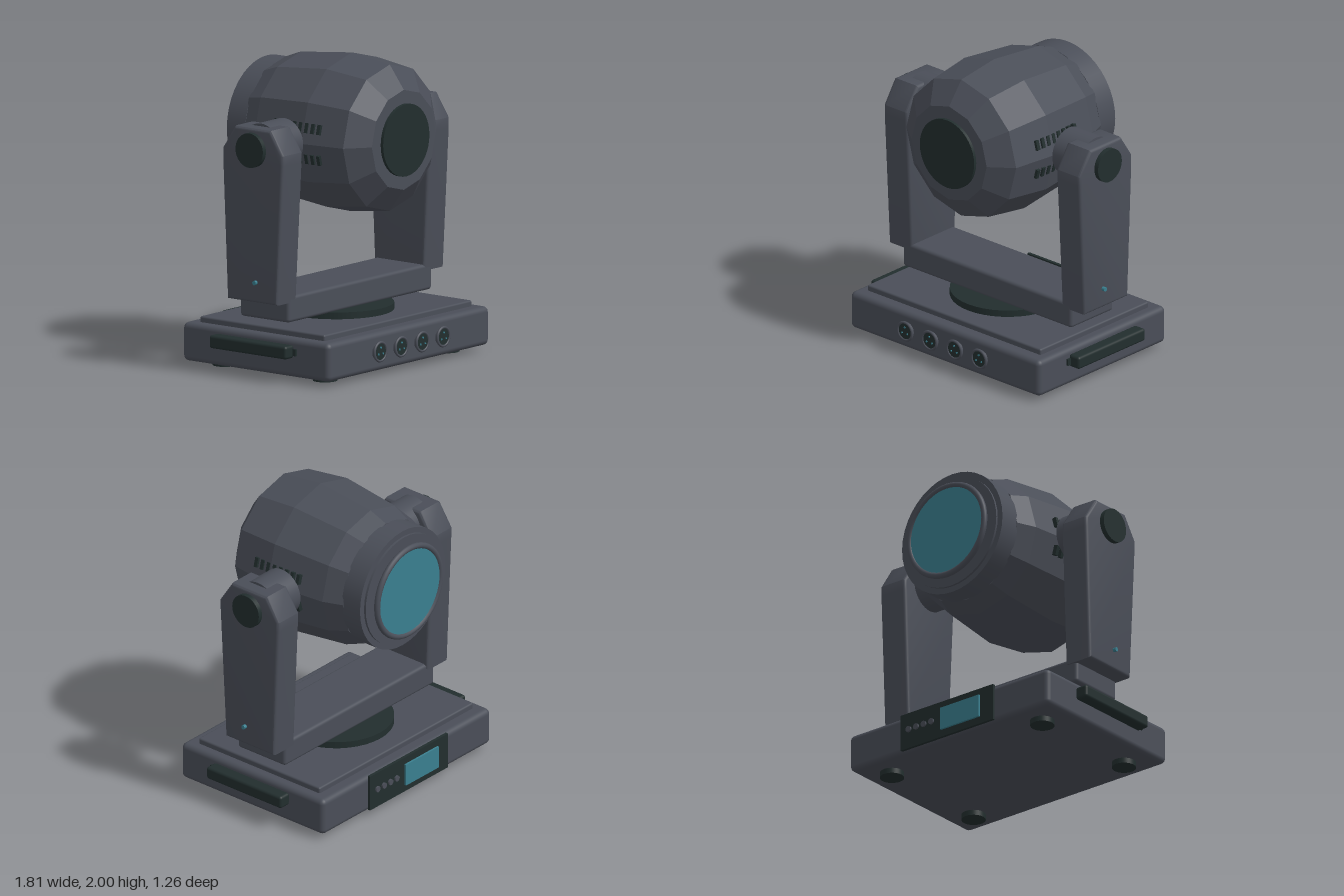
import * as THREE from 'three';
import { RoundedBoxGeometry } from 'three/addons/geometries/RoundedBoxGeometry.js';
import { toCreasedNormals } from 'three/addons/utils/BufferGeometryUtils.js';

const material = (name, color) => {
  const m = new THREE.MeshStandardMaterial({ color });
  m.name = name;
  return m;
};

export function createModel() {
  const housing = material('housing grey', 0x4a4e58);
  const dark = material('dark trim', 0x222e2e);
  const teal = material('teal glass', 0x3a7f8f);
  const root = new THREE.Group();
  root.name = 'movingHeadLight';

  const group = (name, parent = root) => {
    const g = new THREE.Group();
    g.name = name;
    parent.add(g);
    return g;
  };
  const add = (parent, name, geometry, mat, x = 0, y = 0, z = 0) => {
    const m = new THREE.Mesh(geometry, mat);
    m.name = name;
    m.position.set(x, y, z);
    parent.add(m);
    return m;
  };
  const box = (w, h, d, r) => (r ? new RoundedBoxGeometry(w, h, d, 3, r) : new THREE.BoxGeometry(w, h, d));
  const diskY = (r, h) => new THREE.CylinderGeometry(r, r, h, 40);
  const diskX = (r, h) => diskY(r, h).rotateZ(Math.PI / 2);
  const diskZ = (r, h) => diskY(r, h).rotateX(Math.PI / 2);
  const sides = [1, -1];

  // Base with stepped top, feet, handles and turntable
  const base = group('base');
  add(base, 'baseBody', box(1.64, 0.25, 1.2, 0.035), housing, 0, 0.16, 0);
  add(base, 'baseTopStep', box(1.5, 0.08, 1.02, 0.012), housing, 0, 0.283, 0);
  add(base, 'turntable', diskY(0.372, 0.05), dark, 0, 0.342, 0);
  for (const s of sides) {
    for (const t of sides) add(base, 'foot', diskY(0.078, 0.05), dark, s * 0.62, 0.025, t * 0.41);
    add(base, 'handle', box(0.09, 0.085, 0.63, 0.018), dark, s * 0.858, 0.204, 0);
    add(base, 'handleMount', box(0.02, 0.045, 0.04), dark, s * 0.823, 0.2, 0.32);
  }

  // Row of round sockets on the front
  for (const x of [-0.32, -0.107, 0.107, 0.32]) {
    const socket = group('socket', base);
    socket.position.set(x, 0.165, 0.6);
    add(socket, 'socketNeck', diskZ(0.056, 0.03), housing, 0, 0, 0.003);
    add(socket, 'socketRim', new THREE.TorusGeometry(0.06, 0.009, 8, 32), housing, 0, 0, 0.021);
    add(socket, 'socketFace', diskZ(0.057, 0.012), dark, 0, 0, 0.018);
    for (let i = 0; i < 3; i++) {
      const a = Math.PI / 2 + (i * Math.PI * 2) / 3;
      add(socket, 'socketPin', diskZ(0.006, 0.006), teal, 0.027 * Math.cos(a), 0.027 * Math.sin(a), 0.026);
    }
  }

  // Control panel on the back
  const panel = group('controlPanel', base);
  add(panel, 'panelPlate', box(0.76, 0.245, 0.02), dark, 0, 0.168, -0.606);
  add(panel, 'screen', box(0.32, 0.15, 0.016), teal, -0.115, 0.168, -0.622);
  for (let i = 0; i < 4; i++) {
    add(panel, 'button', diskZ(0.02, 0.014), housing, 0.125 + i * 0.062, 0.175, -0.621);
  }

  // Yoke: crossbar and two tapering arms
  const yoke = group('yoke');
  add(yoke, 'crossbar', box(1.46, 0.17, 0.4, 0.022), housing, 0, 0.445, 0);
  const b = 0.02;
  const outline = [[-0.19, 0.51], [0.18, 0.51], [0.228, 1.4], [0.228, 1.46], [0.135, 1.6],
    [-0.135, 1.6], [-0.228, 1.46], [-0.228, 1.4]];
  const armShape = new THREE.Shape(outline.map(([x, y]) => new THREE.Vector2(x, y)));
  const armGeometry = toCreasedNormals(new THREE.ExtrudeGeometry(armShape, {
    depth: 0.205 - 2 * b, bevelThickness: b, bevelSize: b, bevelSegments: 3,
  }).translate(0, 0, -0.1025 + b).rotateY(-Math.PI / 2), 0.6);
  for (const s of sides) {
    add(yoke, 'arm', armGeometry, housing, s * 0.7475, 0, 0);
    add(yoke, 'tiltHub', diskX(0.155, 0.235), housing, s * 0.643, 1.483, 0);
    add(yoke, 'armCap', diskX(0.112, 0.04), dark, s * 0.862, 1.48, 0);
    add(yoke, 'armLight', diskX(0.014, 0.03), teal, s * 0.857, 0.622, 0.03);
  }

  // Faceted head
  const head = group('head');
  head.position.y = 1.484;
  const profile = [[0, -0.42], [0.42, -0.42], [0.47, -0.29], [0.516, 0.13], [0.475, 0.44], [0.325, 0.555], [0, 0.555]];
  const shell = new THREE.LatheGeometry(profile.map(([r, z]) => new THREE.Vector2(r, z)), 12)
    .rotateX(Math.PI / 2).toNonIndexed();
  shell.computeVertexNormals();
  add(head, 'headShell', shell, housing);
  add(head, 'rearCover', diskZ(0.235, 0.025), dark, 0, 0, 0.563);
  add(head, 'lensCollar', diskZ(0.414, 0.15), housing, 0, 0, -0.485);
  add(head, 'lensStep', diskZ(0.375, 0.02), housing, 0, 0, -0.565);
  add(head, 'lensRim', new THREE.TorusGeometry(0.307, 0.02, 12, 48), housing, 0, 0, -0.612);
  add(head, 'lens', diskZ(0.3, 0.02), teal, 0, 0, -0.612);

  // Cooling slots, two rows on each flank
  for (const s of sides) {
    for (const t of sides) {
      for (let i = 0; i < 8; i++) {
        const z = 0.25 - i * 0.05;
        const slot = add(head, 'coolingSlot', box(0.03, 0.065, 0.025), dark, s * 0.477, t * 0.098, z);
        slot.rotation.z = s * t * 0.26;
      }
    }
  }
  return root;
}
